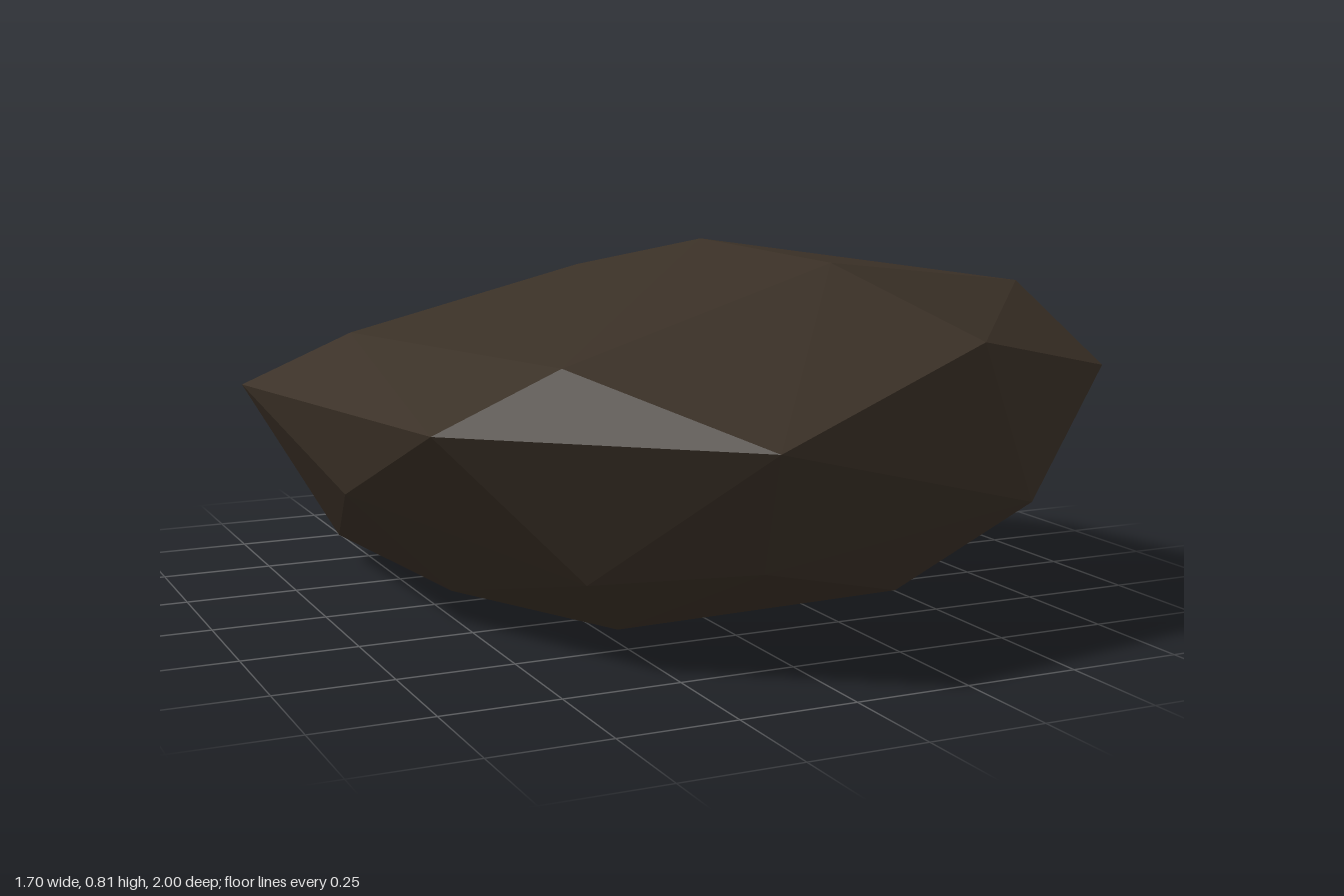
import * as THREE from 'three';
import { ConvexGeometry } from 'three/addons/geometries/ConvexGeometry.js';

// A faceted boulder: rings of corner points wrapped in a flat-faced hull.
export function createModel() {
  const stone = new THREE.MeshStandardMaterial({ color: 0x3a3026 });
  stone.name = 'dark brown stone';

  // upper cap
  const crown = [
    [0.09, 0.81, 0.14], [0.17, 0.79, 0.58], [-0.15, 0.75, 0],
    [0.68, 0.715, -0.07], [0.77, 0.71, 0.38], [0.36, 0.65, 0.865],
    [-0.46, 0.62, 0.66], [-0.65, 0.61, -0.1], [-0.1, 0.6, -0.75],
  ];
  // widest outline
  const girdle = [
    [-0.17, 0.49, 1], [0.85, 0.54, 0.6], [0.53, 0.3, 0.8],
    [0.82, 0.33, 0.06], [0.71, 0.375, -0.43], [0.47, 0.46, -0.64],
    [0, 0.19, -1], [-0.52, 0.48, -0.8], [-0.85, 0.48, -0.29],
    [-0.74, 0.3, 0.14], [-0.7, 0.495, 0.59],
  ];
  // underside
  const base = [
    [0.69, 0.17, 0.35], [0.54, 0.06, -0.33], [0.43, 0, -0.2],
    [0, 0.01, 0.1], [-0.12, 0.05, -0.78], [-0.48, 0.18, -0.76],
    [-0.58, 0.065, -0.48], [-0.5, 0.06, 0.12], [-0.26, 0.035, 0.47],
    [-0.41, 0.19, 0.66], [-0.11, 0.22, 0.83], [0.26, 0.12, 0.71],
  ];

  const points = [...crown, ...girdle, ...base].map((p) => new THREE.Vector3(...p));
  const boulder = new THREE.Mesh(new ConvexGeometry(points), stone);
  boulder.name = 'boulder';

  const group = new THREE.Group();
  group.name = 'rock';
  group.add(boulder);
  return group;
}
